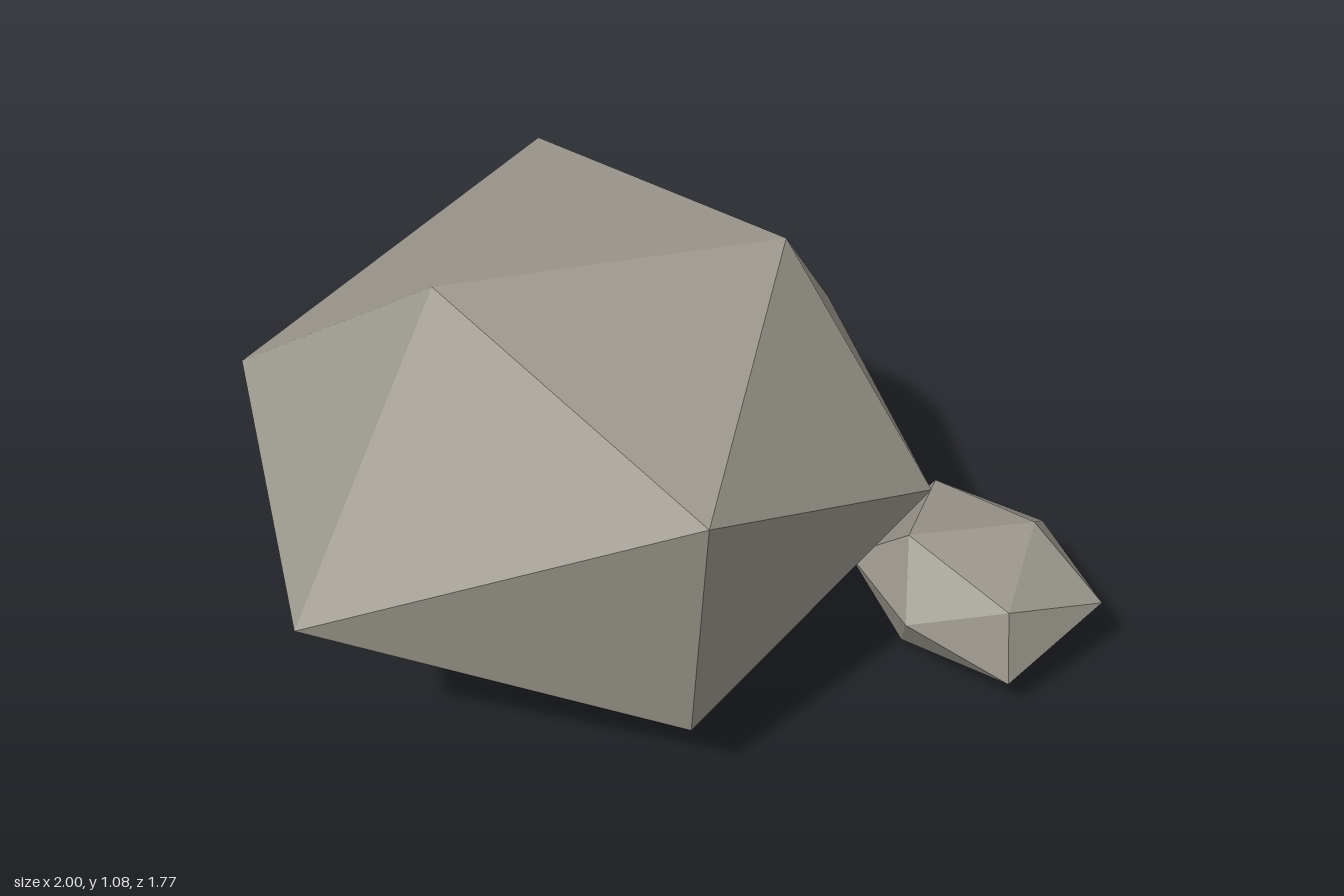
import * as THREE from 'three';

// Twenty triangles joining the twelve corners of an icosahedron
const FACES = [
  0, 11, 5, 0, 5, 1, 0, 1, 7, 0, 7, 10, 0, 10, 11,
  1, 5, 9, 5, 11, 4, 11, 10, 2, 10, 7, 6, 7, 1, 8,
  3, 9, 4, 3, 4, 2, 3, 2, 6, 3, 6, 8, 3, 8, 9,
  4, 9, 5, 2, 4, 11, 6, 2, 10, 8, 6, 7, 9, 8, 1,
];

// A rock is an icosahedron with its corners pushed about
function makeRock(name, corners, material) {
  const indexed = new THREE.BufferGeometry();
  indexed.setAttribute('position', new THREE.Float32BufferAttribute(corners.flat(), 3));
  indexed.setIndex(FACES);
  const geometry = indexed.toNonIndexed();
  geometry.computeVertexNormals();
  const mesh = new THREE.Mesh(geometry, material);
  mesh.name = name;
  return mesh;
}

export function createModel() {
  const stone = new THREE.MeshStandardMaterial({ color: 0x9c988e, flatShading: true });
  stone.name = 'stone grey';

  const group = new THREE.Group();
  group.name = 'rocks';

  group.add(makeRock('largeRock', [
    [-0.56, 1.08, 0.01], [0.305, 1.075, 0.01],      // top ridge
    [-0.59, 0.035, 0.01], [0.36, 0, 0.015],         // bottom ridge
    [-0.13, 0.245, 0.76], [-0.13, 0.96, 0.885],     // front edge
    [-0.13, 0.175, -0.885], [-0.13, 0.945, -0.83],  // back edge
    [0.575, 0.575, -0.42], [0.56, 0.575, 0.435],    // left side
    [-1, 0.575, -0.525], [-1, 0.575, 0.55],         // right side
  ], stone));

  group.add(makeRock('smallRock', [
    [0.53, 0.4, 0.39], [0.87, 0.367, 0.385],
    [0.535, 0.045, 0.387], [0.9, 0.035, 0.39],
    [0.71, 0.11, 0.675], [0.71, 0.308, 0.63],
    [0.71, 0.13, 0.155], [0.71, 0.32, 0.107],
    [0.975, 0.217, 0.22], [0.997, 0.217, 0.56],
    [0.44, 0.217, 0.22], [0.49, 0.217, 0.515],
  ], stone));

  return group;
}
